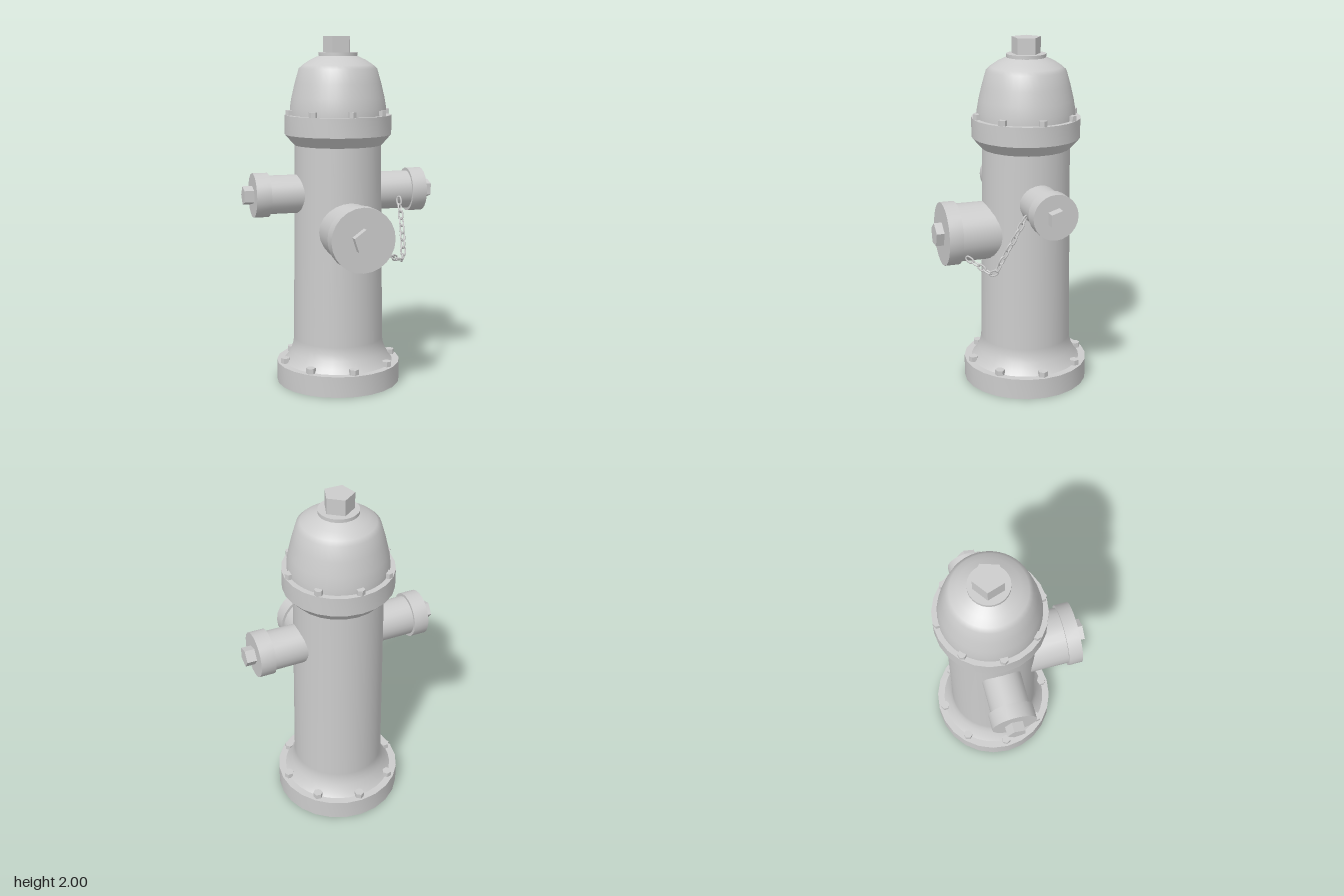
import * as THREE from 'three';
import { toCreasedNormals } from 'three/addons/utils/BufferGeometryUtils.js';

const material = new THREE.MeshStandardMaterial({ color: 0xcccccc });
const flat = new THREE.MeshStandardMaterial({ color: 0xcccccc, flatShading: true });
const AXIS_Z = -0.09; // the barrel stands behind the centre

function add(parent, name, geometry, mat = material) {
  const mesh = new THREE.Mesh(geometry, mat);
  mesh.name = name;
  parent.add(mesh);
  return mesh;
}

// Turned part; a crease angle keeps the machined edges sharp
function turned(points, segments = 24, crease = 0.5) {
  const g = new THREE.LatheGeometry(points.map(([r, y]) => new THREE.Vector2(r, y)), segments);
  return crease ? toCreasedNormals(g, crease) : g;
}

// Five-sided operating nut standing on height y, one corner towards -z
function nut(r, y0, y1) {
  return new THREE.CylinderGeometry(r, r, y1 - y0, 5).rotateY(Math.PI).translate(0, (y0 + y1) / 2, 0);
}

function boltRing(parent, name, ringRadius, y, size) {
  for (let i = 0; i < 8; i++) {
    const g = new THREE.CylinderGeometry(size, size, 0.04, 6).translate(0, y + 0.01, ringRadius);
    add(parent, name, g.rotateY((i * Math.PI) / 4), flat);
  }
}

// Outlet along +y from the barrel axis: pipe, cap and nut
function outlet(name, pipeR, capR, nutR, capStart, capEnd, nutEnd) {
  const group = new THREE.Group();
  group.name = name;
  add(group, 'outletPipe', turned([[pipeR, 0.1], [pipeR, capStart + 0.01]]));
  add(group, 'outletCap', turned([
    [0, capStart], [capR, capStart], [capR, capEnd], [0, capEnd],
  ]));
  add(group, 'outletNut', nut(nutR, capEnd - 0.01, nutEnd), flat);
  return group;
}

// Oval link lying in the xy plane, long along y
function linkGeometry(length, width, wire) {
  const h = length / 2 - wire, w = width / 2 - wire, s = h - w * 0.8;
  const pts = [[w, -s], [w, s], [w * 0.55, h], [-w * 0.55, h], [-w, s], [-w, -s], [-w * 0.55, -h], [w * 0.55, -h]];
  const curve = new THREE.CatmullRomCurve3(pts.map(([x, y]) => new THREE.Vector3(x, y, 0)), true);
  return new THREE.TubeGeometry(curve, 20, wire, 6, true);
}

export function createModel() {
  const model = new THREE.Group();
  model.name = 'fireHydrant';
  const column = new THREE.Group();
  column.name = 'column';
  column.position.z = AXIS_Z;
  model.add(column);

  // Foot flange and tapered barrel
  add(column, 'baseFlange', turned([[0, 0], [0.36, 0], [0.36, 0.12], [0.29, 0.12]]));
  add(column, 'barrel', turned([
    [0.318, 0.12], [0.298, 0.145], [0.277, 0.185], [0.265, 0.22], [0.26, 0.26], [0.247, 1.4],
  ], 32, 0));
  boltRing(column, 'baseBolt', 0.32, 0.12, 0.028);

  // Collar under the bonnet
  add(column, 'collar', turned([[0.24, 1.39], [0.252, 1.39], [0.305, 1.45], [0.305, 1.56], [0.25, 1.56]]));
  boltRing(column, 'collarBolt', 0.281, 1.56, 0.024);

  // Domed bonnet with its top ring and nut
  add(column, 'bonnet', turned([
    [0.275, 1.56], [0.274, 1.6], [0.264, 1.66], [0.245, 1.74], [0.222, 1.82],
    [0.2, 1.84], [0.16, 1.867], [0.1, 1.895],
  ], 40, 0));
  add(column, 'topRing', turned([[0.1, 1.885], [0.11, 1.89], [0.11, 1.91], [0, 1.91]]));
  add(column, 'topNut', nut(0.084, 1.9, 2), flat);

  // Side outlets, mirrored, and the larger front outlet
  for (const side of [1, -1]) {
    const o = outlet(side > 0 ? 'leftOutlet' : 'rightOutlet', 0.11, 0.126, 0.055, 0.415, 0.5, 0.555);
    o.position.y = 1.115;
    o.rotation.z = (-side * Math.PI) / 2;
    column.add(o);
  }
  const front = outlet('frontOutlet', 0.165, 0.18, 0.068, 0.415, 0.495, 0.54);
  front.position.y = 0.92;
  front.rotation.x = Math.PI / 2;
  column.add(front);

  // Chain hanging from the left outlet to the front cap
  const chain = new THREE.Group();
  chain.name = 'chain';
  model.add(chain);
  const path = new THREE.CatmullRomCurve3([
    [0.332, 1.085, 0.02], [0.327, 0.97, 0.08], [0.315, 0.85, 0.145], [0.302, 0.772, 0.185],
    [0.285, 0.762, 0.205], [0.235, 0.78, 0.24], [0.155, 0.82, 0.305],
  ].map((p) => new THREE.Vector3(...p)));
  const link = linkGeometry(0.058, 0.036, 0.005);
  const up = new THREE.Vector3(0, 1, 0);
  const count = 13;
  for (let i = 0; i < count; i++) {
    const t = (i + 0.5) / count;
    const mesh = add(chain, 'chainLink', link);
    mesh.position.copy(path.getPointAt(t));
    mesh.quaternion.setFromUnitVectors(up, path.getTangentAt(t));
    mesh.rotateY(Math.PI / 4 + (i % 2) * (Math.PI / 2));
  }
  return model;
}
